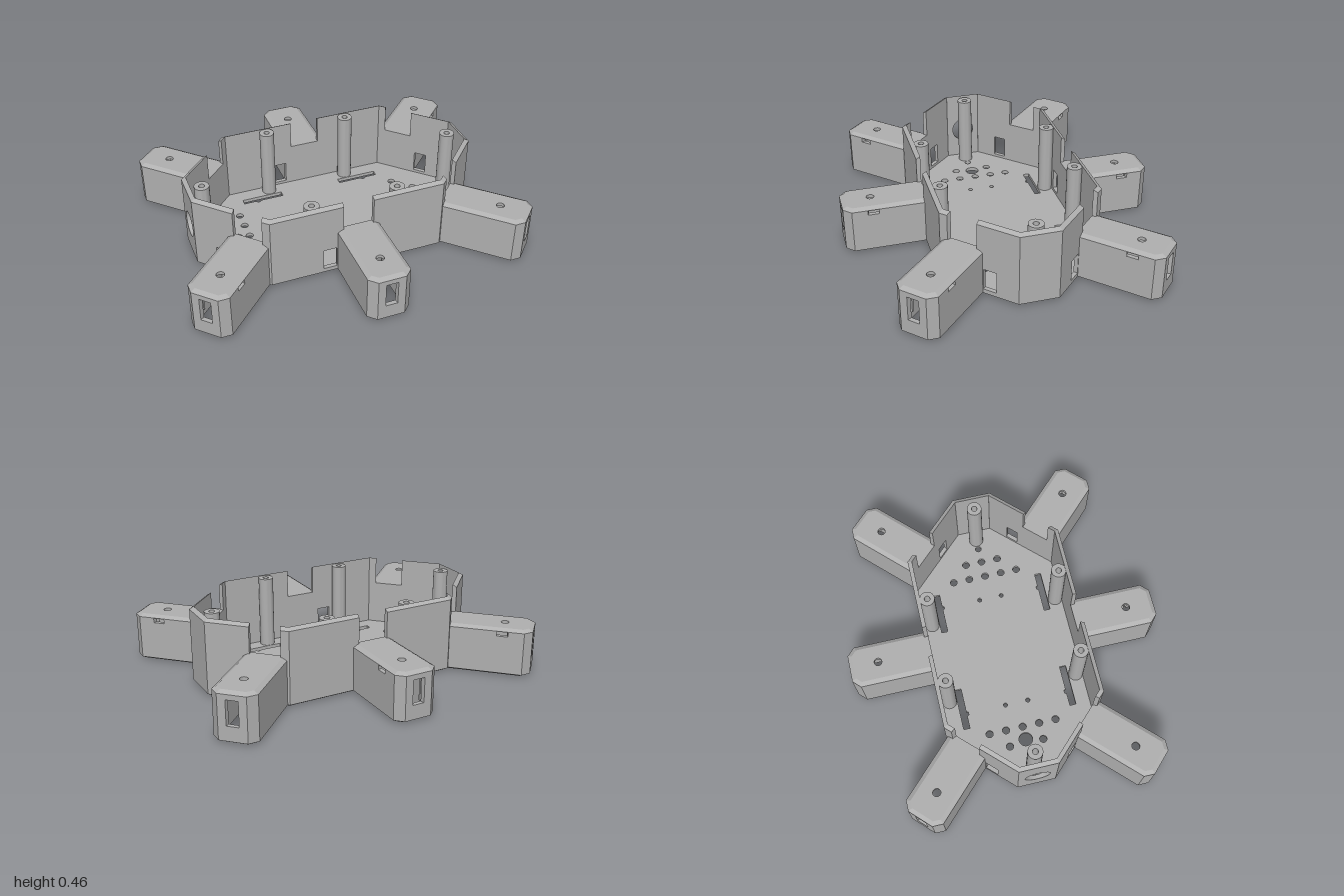
import * as THREE from 'three';
import { toCreasedNormals } from 'three/addons/utils/BufferGeometryUtils.js';

const T = 0.025;                        // wall thickness
const MITRE = T * Math.tan(Math.PI / 8); // inner shortening at 45 degree corners
const BODY_H = 0.46, LEG_H = 0.29, CHAMFER = 0.015;

const grey = new THREE.MeshStandardMaterial({ color: 0xb0b0b0 });
grey.name = 'grey plastic';

function part(name, geometry, parent) {
  const mesh = new THREE.Mesh(toCreasedNormals(geometry, 0.5), grey);
  mesh.name = name;
  parent.add(mesh);
  return mesh;
}

const poly = (pts) => new THREE.Shape(pts.map(([x, y]) => new THREE.Vector2(x, y)));
const rect = (x0, x1, y0, y1) => poly([[x0, y0], [x1, y0], [x1, y1], [x0, y1]]);
function circle(x, y, r) {
  const p = new THREE.Path();
  p.absarc(x, y, r, 0, Math.PI * 2, true);
  return p;
}

// Flat plate lying in xz, from y0 upwards
function plate(shape, y0, depth) {
  const g = new THREE.ExtrudeGeometry(shape, { depth, bevelEnabled: false, curveSegments: 16 });
  return g.rotateX(-Math.PI / 2).translate(0, y0, 0);
}

// Upright wall from p to q ([x, z]) with mitred ends and chamfered outer edges
function wall(name, p, q, height, parent, { notch, holes = [], k0 = MITRE, k1 = MITRE } = {}) {
  const dx = q[0] - p[0], dz = q[1] - p[1], L = Math.hypot(dx, dz);
  const pts = [[0, 0], [L, 0], [L, height]];
  if (notch) pts.push([notch[1], height], [notch[1], LEG_H], [notch[0], LEG_H], [notch[0], height]);
  pts.push([0, height]);
  const shape = poly(pts);
  shape.holes.push(...holes);
  const g = new THREE.ExtrudeGeometry(shape, { depth: T, bevelEnabled: false, curveSegments: 20 });
  g.translate(0, 0, -T);
  const v = g.attributes.position;
  for (let i = 0; i < v.count; i++) {
    if (v.getZ(i) < -T / 2) v.setX(i, k0 + (v.getX(i) / L) * (L - k0 - k1));
    else if (v.getY(i) > height - 1e-4) v.setY(i, height - CHAMFER);
    else if (v.getY(i) < 1e-4) v.setY(i, CHAMFER);
  }
  g.computeVertexNormals();
  const mesh = part(name, g, parent);
  mesh.position.set(p[0], 0, p[1]);
  mesh.rotation.y = Math.atan2(-dz, dx);
}

// Hollow leg, open below, pointing along its own +z; slotSide is the side with the cable slot
function makeLeg(name, x, z, angle, L, slotSide) {
  const leg = new THREE.Group();
  leg.name = name;
  const w = 0.125, c = 0.045, b = -0.01, d = L - 0.17;
  const path = [[-w, b], [-w, L - c], [c - w, L], [w - c, L], [w, L - c], [w, b]];
  const slot = (u) => [rect(u - 0.033, u + 0.033, 0.245, 0.272)];
  for (let i = 0; i < 5; i++) {
    const opts = {};
    if (i === 0) { opts.k0 = 0; if (slotSide < 0) opts.holes = slot(d - b); }
    if (i === 4) { opts.k1 = 0; if (slotSide > 0) opts.holes = slot(L - c - d); }
    if (i === 2) opts.holes = [rect(w - c - 0.035, w - c + 0.035, 0.1, 0.245)];
    wall(i === 2 ? 'legTip' : 'legSide', path[i], path[i + 1], LEG_H, leg, opts);
  }
  // lid with screw hole
  const a = w - T, e = L - T, m = w - c - MITRE;
  const lid = poly([[-a, -b], [-a, -(L - c - MITRE)], [-m, -e], [m, -e], [a, -(L - c - MITRE)], [a, -b]]);
  lid.holes.push(circle(0, -d, 0.023));
  part('legLid', plate(lid, LEG_H - 0.02, 0.02), leg);
  // inner ribs
  for (const s of [-1, 1]) for (const r of [0.13, L - 0.12]) {
    part('legRib', new THREE.BoxGeometry(0.014, 0.22, 0.014), leg).position.set(s * (a - 0.006), 0.16, r);
  }
  leg.position.set(x, 0, z);
  leg.rotation.y = angle;
  return leg;
}

export function createModel() {
  const model = new THREE.Group();
  model.name = 'sixLeggedChassis';
  const body = new THREE.Group();
  body.name = 'body';
  model.add(body);

  // Body walls, running around from the front
  const X = 0.86, XI = 0.52, Z = 0.462, ZI = 0.115;
  const ring = [[-XI, Z], [XI, Z], [X, ZI], [X, -ZI], [XI, -Z], [-XI, -Z], [-X, -ZI], [-X, ZI]];
  const D = Math.hypot(X - XI, Z - ZI);
  const windowAt = (u) => [rect(u - 0.04, u + 0.04, 0.04, 0.17)];
  const nearStart = { notch: [0.049, 0.229], holes: windowAt(0.309) };
  const nearEnd = { notch: [D - 0.229, D - 0.049], holes: windowAt(D - 0.309) };
  const mid = [XI - 0.09, XI + 0.09];
  const walls = [
    ['frontWall', { notch: mid, holes: windowAt(XI - 0.17) }],
    ['frontLeftWall', nearStart],
    ['leftEndWall', {}],
    ['backLeftWall', nearEnd],
    ['backWall', { notch: mid, holes: windowAt(XI + 0.17) }],
    ['backRightWall', nearStart],
    ['rightEndWall', { holes: [circle(ZI, 0.21, 0.075)] }],
    ['frontRightWall', nearEnd],
  ];
  walls.forEach(([name, opts], i) => wall(name, ring[i], ring[(i + 1) % 8], BODY_H, body, opts));

  // Floor with mounting holes and slots
  const fx = X - T, fz = Z - T, fxi = XI - MITRE, fzi = ZI - MITRE;
  const floor = poly([[-fxi, -fz], [fxi, -fz], [fx, -fzi], [fx, fzi], [fxi, fz], [-fxi, fz], [-fx, fzi], [-fx, -fzi]]);
  for (const s of [-1, 1]) {
    for (const z of [-0.205, -0.103, 0, 0.103, 0.205]) floor.holes.push(circle(s * 0.51, z, 0.022));
    for (const z of [-0.103, 0.103]) floor.holes.push(circle(s * 0.612, z, 0.022));
    floor.holes.push(circle(s * 0.705, 0, 0.019));
    for (const t of [-1, 1]) {
      floor.holes.push(circle(s * 0.355, t * 0.07, 0.013));
      const cx = s * 0.32, bx = s * 0.355, zi = t * 0.312, zo = t * 0.35;
      floor.holes.push(poly([[cx - 0.127, zo], [cx + 0.127, zo], [cx + 0.127, zi], [bx + 0.016, zi],
        [bx + 0.008, zi - t * 0.012], [bx - 0.008, zi - t * 0.012], [bx - 0.016, zi], [cx - 0.127, zi]]));
    }
  }
  floor.holes.push(circle(-0.59, 0, 0.041), circle(0.612, 0, 0.022));
  part('floor', plate(floor, 0, 0.022), body);

  // Screw posts
  const posts = [[-0.77, 0], [0.77, 0]];
  for (const s of [-1, 1]) for (const t of [-1, 1]) posts.push([s * 0.257, t * 0.397]);
  for (const [x, z] of posts) {
    const shape = new THREE.Shape();
    shape.absarc(0, 0, 0.044, 0, Math.PI * 2);
    shape.holes.push(circle(0, 0, 0.017));
    part('screwPost', plate(shape, 0.02, 0.435), body).position.set(x, 0, z);
  }

  // Legs: three in front, mirrored to the back
  for (const f of [1, -1]) {
    const end = f > 0 ? 'front' : 'back';
    for (const s of [-1, 0, 1]) {
      const a = s * Math.PI / 4;
      const name = end + ['Right', 'Middle', 'Left'][s + 1] + 'Leg';
      model.add(makeLeg(name, s * 0.617, f * (s ? 0.362 : Z), f > 0 ? a : Math.PI - a, s ? 0.478 : 0.466, f));
    }
  }
  return model;
}
